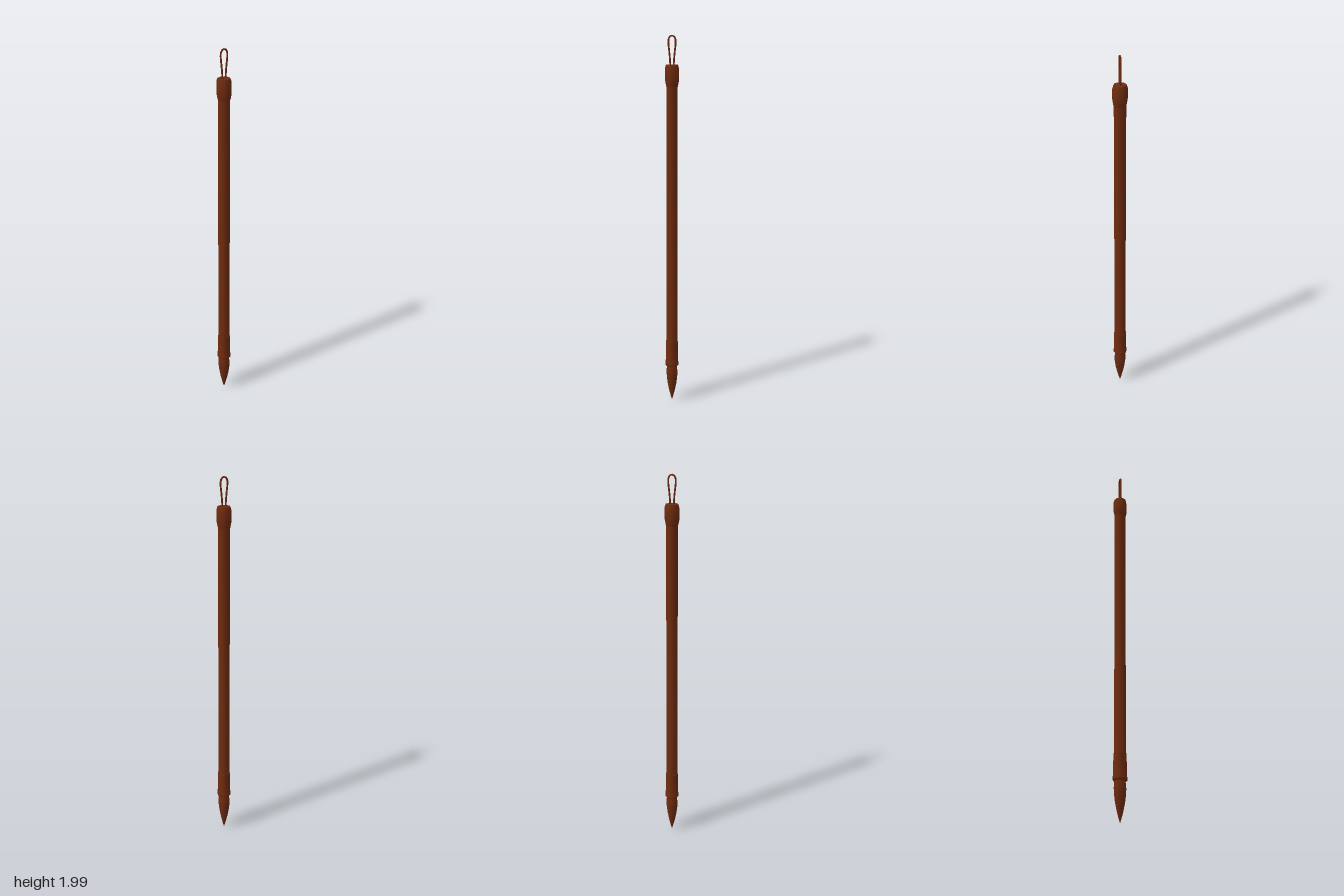
import * as THREE from 'three';
import { toCreasedNormals } from 'three/addons/utils/BufferGeometryUtils.js';

const SIDES = 8;

export function createModel() {
  const model = new THREE.Group();
  model.name = 'brush';
  const material = new THREE.MeshStandardMaterial({ color: 0x702c0f });

  const add = (name, geometry) => {
    const mesh = new THREE.Mesh(geometry, material);
    mesh.name = name;
    model.add(mesh);
  };

  // Eight-sided turned part from [radius, height] pairs, bottom to top
  const turned = (name, profile) => {
    const points = profile.map(([r, y]) => new THREE.Vector2(r, y));
    add(name, toCreasedNormals(new THREE.LatheGeometry(points, SIDES), 0.85));
  };

  // Pointed bristle head, bulging below the ferrule
  turned('bristles', [
    [0, 0.01], [0.009, 0.04], [0.018, 0.075], [0.026, 0.115],
    [0.031, 0.155], [0.032, 0.185], [0.029, 0.215], [0.027, 0.235], [0, 0.235],
  ]);

  // Flared ferrule with a small rounded lip
  turned('ferrule', [
    [0, 0.222], [0.034, 0.22], [0.039, 0.226], [0.038, 0.235],
    [0.036, 0.25], [0.034, 0.36], [0, 0.36],
  ]);

  // Long straight handle
  turned('handle', [[0, 0.3], [0.031, 0.3], [0.031, 1.79], [0, 1.79]]);

  // End cap, tapered into the handle and chamfered on top
  turned('endCap', [
    [0.029, 1.735], [0.034, 1.755], [0.038, 1.775],
    [0.038, 1.835], [0.033, 1.852], [0, 1.852],
  ]);

  // Hanging cord: a narrow loop that widens upward
  const half = [[0.009, 1.84], [0.011, 1.88], [0.015, 1.92], [0.019, 1.955], [0.018, 1.98], [0.01, 1.993]];
  const path = [
    ...half.map(([x, y]) => new THREE.Vector3(-x, y, 0)),
    new THREE.Vector3(0, 1.996, 0),
    ...half.slice().reverse().map(([x, y]) => new THREE.Vector3(x, y, 0)),
  ];
  add('hangingLoop', new THREE.TubeGeometry(new THREE.CatmullRomCurve3(path), 32, 0.0045, 6, false));

  return model;
}
